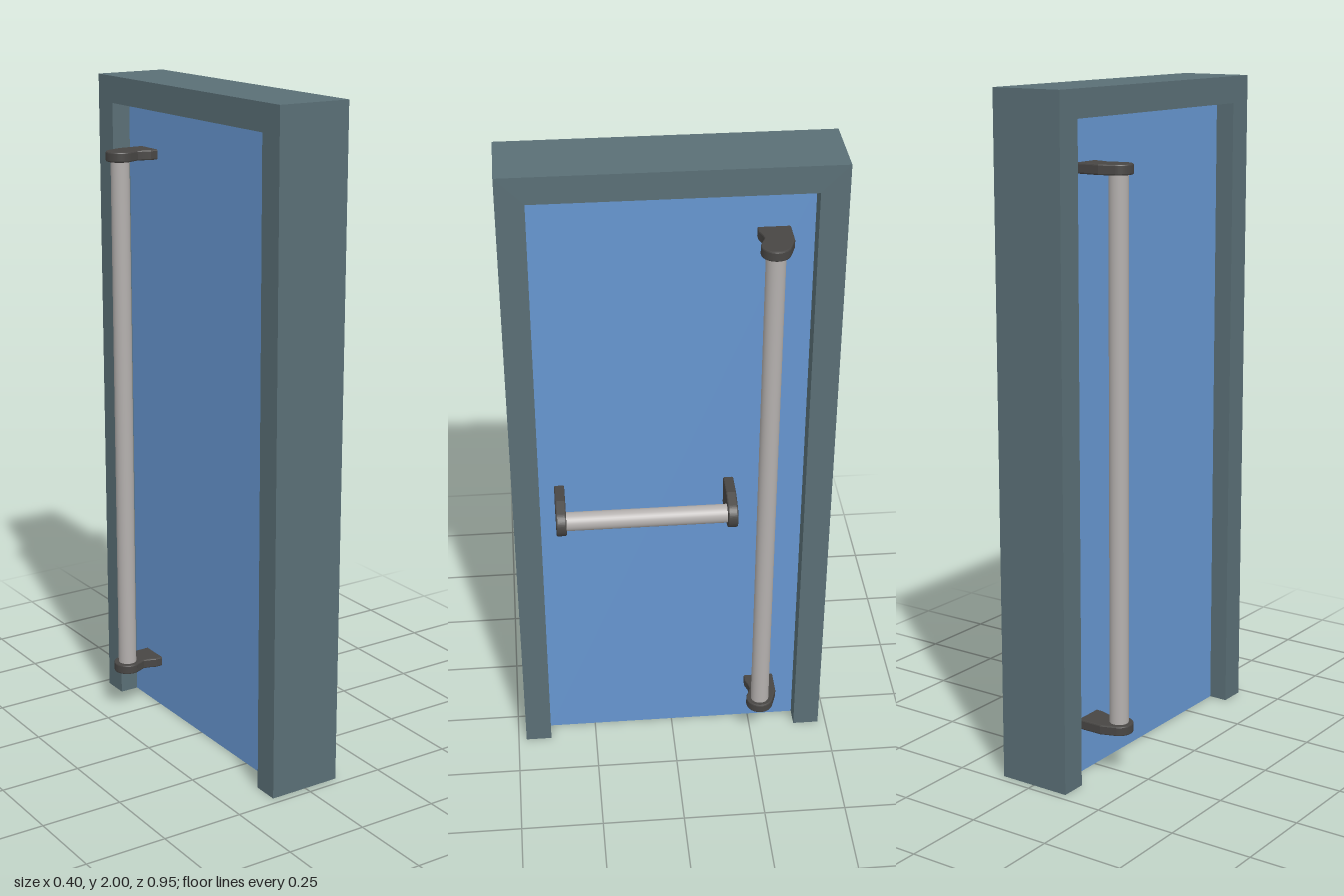
import * as THREE from 'three';

const mat = (name, color) => {
  const m = new THREE.MeshStandardMaterial({ color });
  m.name = name;
  return m;
};
const slate = mat('slate', 0x5a6f76);
const blue = mat('blue', 0x6696d0);
const steel = mat('steel', 0xb4b0ae);
const charcoal = mat('charcoal', 0x484644);

function add(parent, name, geometry, material, x = 0, y = 0, z = 0) {
  const m = new THREE.Mesh(geometry, material);
  m.name = name;
  m.position.set(x, y, z);
  parent.add(m);
  return m;
}

const BAR_X = 0.16, BAR_R = 0.028, THICK = 0.03, BEVEL = 0.004;

// Cranked bracket: square root at the door, rounded tip around the bar
function bracketGeometry() {
  const s = new THREE.Shape();
  s.moveTo(0.045, -0.034);
  s.lineTo(0.075, -0.034);
  s.quadraticCurveTo(0.095, -0.025, 0.115, -0.022);
  s.lineTo(0.148, -0.036);
  s.absarc(BAR_X, 0, 0.038, -1.89, 1.2, false);
  s.lineTo(0.13, 0.051);
  s.lineTo(0.045, 0.051);
  s.closePath();
  const g = new THREE.ExtrudeGeometry(s, {
    depth: THICK - 2 * BEVEL, bevelThickness: BEVEL, bevelSize: BEVEL, bevelSegments: 2, curveSegments: 16,
  });
  return g.translate(0, 0, BEVEL - THICK / 2);
}

// Bar along z with a bracket at each end
function makeHandle(name, length) {
  const h = new THREE.Group();
  h.name = name;
  const bar = new THREE.CylinderGeometry(BAR_R, BAR_R, length - THICK, 32).rotateX(Math.PI / 2);
  add(h, 'bar', bar, steel, BAR_X);
  const bracket = bracketGeometry();
  for (const s of [-1, 1]) add(h, 'bracket', bracket, charcoal, 0, 0, s * (length - THICK) / 2);
  return h;
}

export function createModel() {
  const door = new THREE.Group();
  door.name = 'door';
  const body = new THREE.Group();
  body.name = 'doorBody';
  body.position.x = -0.0025;
  door.add(body);

  // Frame: two posts and a header, open at the floor
  const outline = new THREE.Shape([
    [-0.475, 0], [-0.395, 0], [-0.395, 1.92], [0.395, 1.92],
    [0.395, 0], [0.475, 0], [0.475, 2], [-0.475, 2],
  ].map(([x, y]) => new THREE.Vector2(x, y)));
  const frame = new THREE.ExtrudeGeometry(outline, { depth: 0.225, bevelEnabled: false });
  frame.translate(0, 0, -0.1125).rotateY(Math.PI / 2);
  add(body, 'frame', frame, slate);

  // Recessed panel with a coloured sheet on both faces
  add(body, 'panelCore', new THREE.BoxGeometry(0.1, 1.92, 0.79), slate, 0, 0.96, 0);
  for (const s of [-1, 1]) {
    add(body, 'panelSheet', new THREE.BoxGeometry(0.004, 1.92, 0.79), blue, s * 0.052, 0.96, 0);
  }

  // Tall pull handles on both sides
  for (const side of [1, -1]) {
    const pull = makeHandle(side > 0 ? 'leftPullHandle' : 'rightPullHandle', 1.657);
    pull.rotation.set(-Math.PI / 2, side > 0 ? 0 : Math.PI, 0);
    pull.position.set(0, 0.967, -0.273);
    body.add(pull);
  }

  // Push bar on one side only
  const push = makeHandle('pushBar', 0.535);
  push.position.set(0, 0.907, 0.0825);
  body.add(push);

  return door;
}
